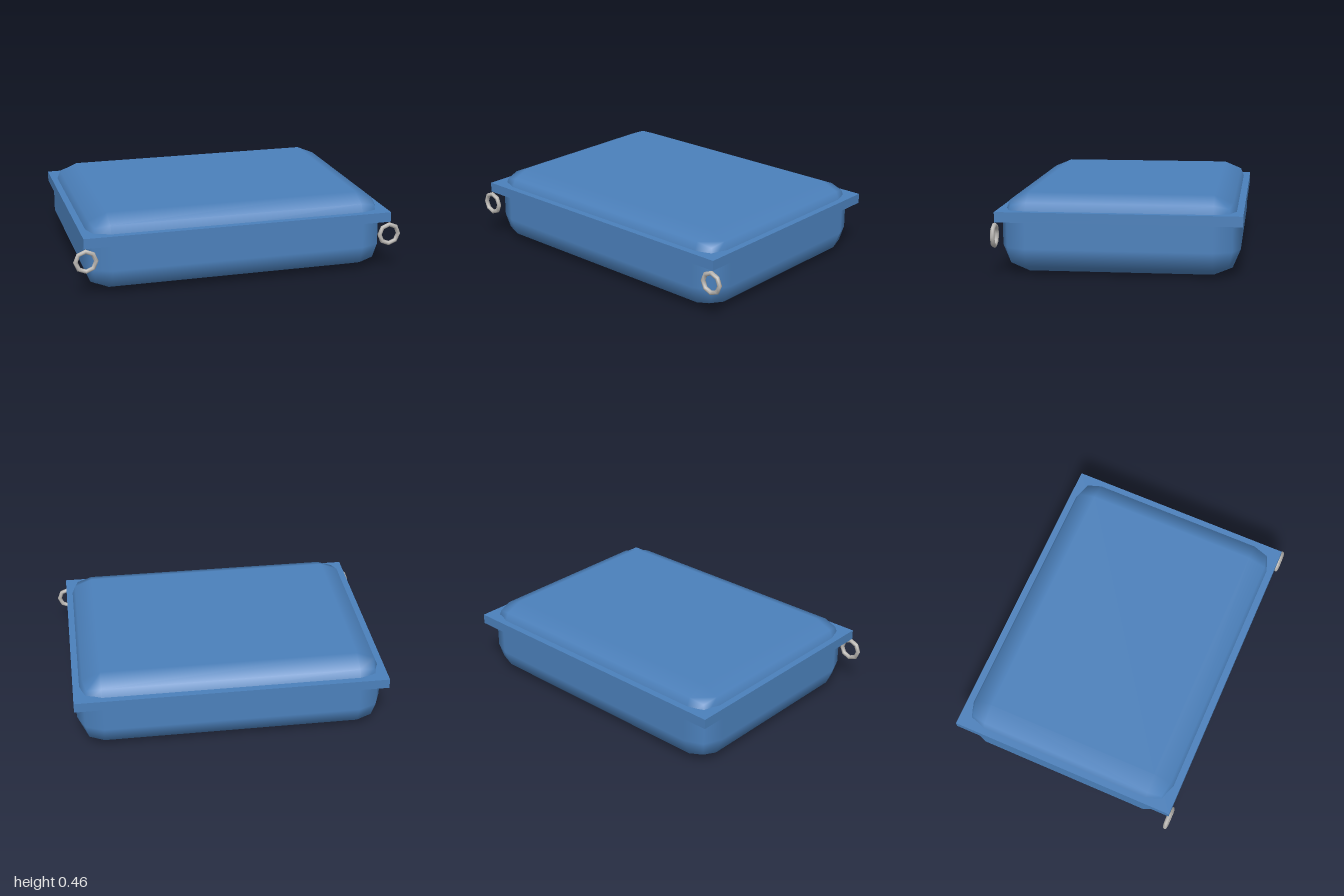
import * as THREE from 'three';
import { RoundedBoxGeometry } from 'three/addons/geometries/RoundedBoxGeometry.js';

export function createModel() {
  const model = new THREE.Group();
  model.name = 'case';

  const blue = new THREE.MeshStandardMaterial({ color: 0x4b80bb });
  blue.name = 'blue shell';
  const steel = new THREE.MeshStandardMaterial({ color: 0xb9b6b2 });
  steel.name = 'steel';

  const add = (name, geometry, material, x, y, z) => {
    const mesh = new THREE.Mesh(geometry, material);
    mesh.name = name;
    mesh.position.set(x, y, z);
    model.add(mesh);
    return mesh;
  };

  // Shell with coarse, smooth-shaded rounded edges
  add('body', new RoundedBoxGeometry(1.846, 0.464, 1.386, 1, 0.155), blue, 0, 0.232, -0.007);

  // Flat rim around the shell
  add('rim', new THREE.BoxGeometry(1.872, 0.06, 1.416), blue, 0, 0.341, -0.007);

  // Octagonal carrying rings on the two front corners
  const ring = new THREE.TorusGeometry(0.06, 0.0135, 8, 8);
  for (const [name, side] of [['leftRing', 1], ['rightRing', -1]]) {
    add(name, ring, steel, side * 0.9265, 0.235, 0.7015);
  }

  return model;
}
